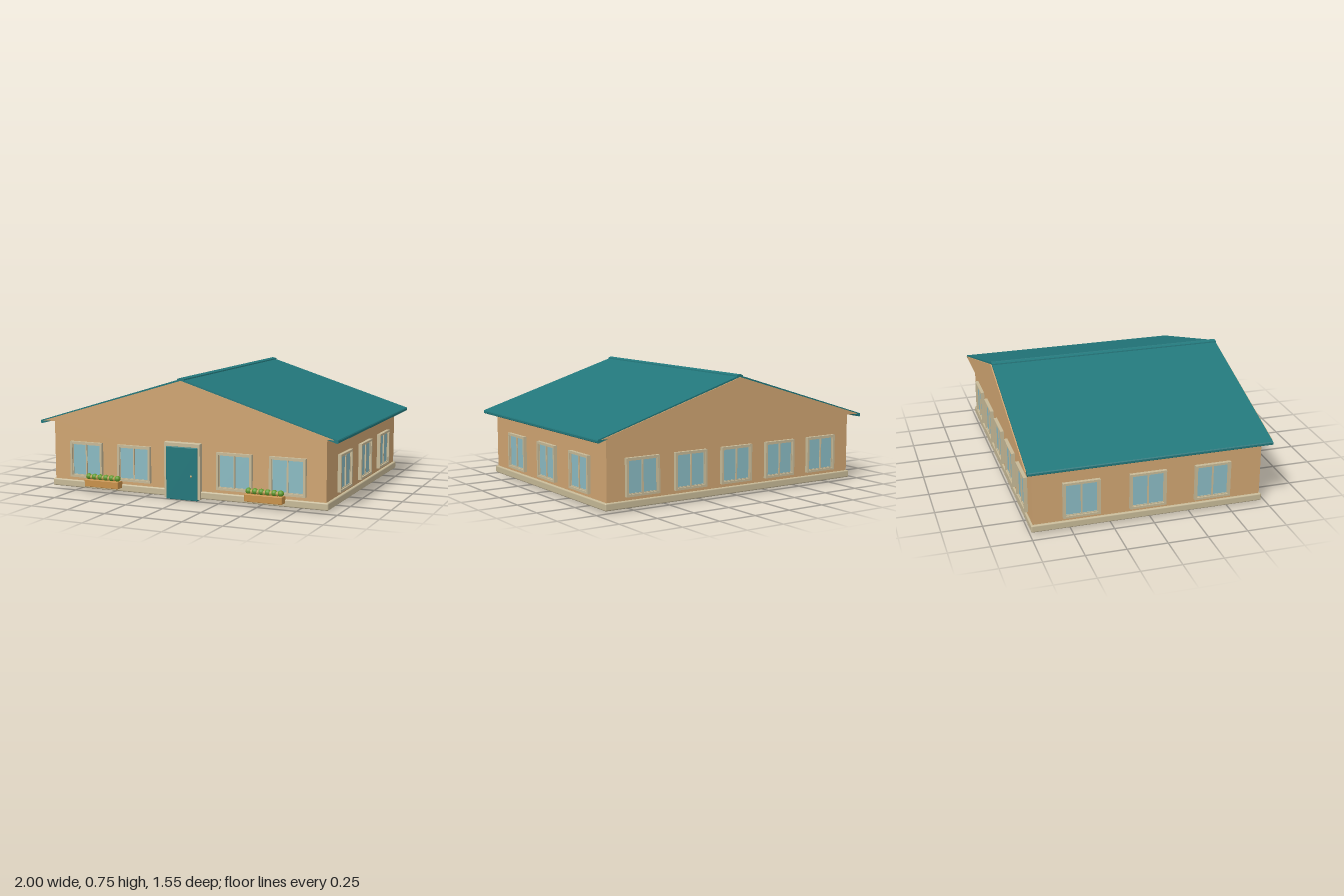
import * as THREE from 'three';
import { RoundedBoxGeometry } from 'three/addons/geometries/RoundedBoxGeometry.js';

const mat = (name, color) => Object.assign(new THREE.MeshStandardMaterial({ color }), { name });
const M = {
  wall: mat('wall plaster', 0xcfa471),
  trim: mat('stone trim', 0xc6b997),
  roof: mat('teal', 0x22777b),
  glass: mat('window glass', 0x8abac2),
  wood: mat('planter wood', 0xc8914a),
  leaf: mat('leaf green', 0x5f9a2c),
  bloom: mat('bloom', 0xb59a4e),
  metal: mat('handle metal', 0xb9a878),
};
const HX = 0.92, HZ = 0.72, WALL_TOP = 0.437, BASE = 0.012;

function add(parent, name, geometry, material, x = 0, y = 0, z = 0) {
  const mesh = new THREE.Mesh(geometry, material);
  mesh.name = name;
  mesh.position.set(x, y, z);
  parent.add(mesh);
  return mesh;
}

const polygon = (pts) => new THREE.Shape(pts.map(([x, y]) => new THREE.Vector2(x, y)));

function extrude(shape, depth) {
  return new THREE.ExtrudeGeometry(shape, { depth, bevelEnabled: false });
}

function rectangle(hx, hy, Type = THREE.Shape) {
  return new Type([[-hx, -hy], [hx, -hy], [hx, hy], [-hx, hy]].map(([x, y]) => new THREE.Vector2(x, y)));
}

// rectangular ring, extruded along z
function ring(hx, hy, border, depth) {
  const shape = rectangle(hx, hy);
  shape.holes.push(rectangle(hx - border, hy - border, THREE.Path));
  return extrude(shape, depth);
}

// window with its back on z = 0, facing +z
function makeWindow() {
  const g = new THREE.Group();
  g.name = 'window';
  add(g, 'windowFrame', ring(0.115, 0.115, 0.014, 0.022), M.trim);
  add(g, 'windowGlass', new THREE.BoxGeometry(0.206, 0.206, 0.008), M.glass, 0, 0, 0.004);
  for (const s of [-1, 1]) {
    add(g, 'sash', ring(0.0505, 0.101, 0.005, 0.013), M.trim, s * 0.0505);
  }
  add(g, 'mullion', new THREE.BoxGeometry(0.008, 0.204, 0.016), M.trim, 0, 0, 0.008);
  return g;
}

function makePlanter() {
  const g = new THREE.Group();
  g.name = 'planter';
  add(g, 'planterBox', new RoundedBoxGeometry(0.24, 0.046, 0.062, 2, 0.004), M.wood, 0, 0.058, 0);
  for (let i = 0; i < 11; i++) {
    const green = i % 2 === 0;
    add(g, green ? 'leafBall' : 'bloom', new THREE.SphereGeometry(green ? 0.019 : 0.015, 12, 8),
      green ? M.leaf : M.bloom, (i - 5) * 0.0205, green ? 0.097 : 0.094, 0.002);
  }
  return g;
}

export function createModel() {
  const model = new THREE.Group();
  model.name = 'house';
  const house = new THREE.Group();
  house.name = 'building';
  house.position.z = -0.01;
  model.add(house);

  // hollow walls, open below
  const walls = ring(HX, HZ, 0.02, WALL_TOP - BASE);
  walls.rotateX(-Math.PI / 2);
  add(house, 'walls', walls, M.wall, 0, BASE, 0);

  // foundation rails
  for (const s of [-1, 1]) {
    add(house, 'foundationRail', new RoundedBoxGeometry(1.87, 0.046, 0.032, 2, 0.008), M.trim, 0, 0.035, s * (HZ - 0.004));
    add(house, 'foundationSideRail', new RoundedBoxGeometry(0.032, 0.046, 1.464, 2, 0.008), M.trim, s * (HX - 0.001), 0.035, 0);
  }

  // gables
  const gable = polygon([[-0.975, WALL_TOP], [0.975, WALL_TOP], [0, 0.734]]);
  add(house, 'frontGable', extrude(gable, 0.067), M.wall, 0, 0, 0.7);
  add(house, 'backGable', extrude(gable, 0.067), M.wall, 0, 0, -0.767);

  // roof slopes and ridge cap
  const slopes = polygon([
    [0, 0.726], [-0.994, 0.416], [-1, 0.42], [-1, 0.432], [-0.996, 0.438],
    [0, 0.745], [0.996, 0.438], [1, 0.432], [1, 0.42], [0.994, 0.416],
  ]);
  add(house, 'roof', extrude(slopes, 1.52), M.roof, 0, 0, -0.76);
  const cap = polygon([[-0.025, 0.734], [0.025, 0.734], [0.023, 0.745], [0.005, 0.751], [0, 0.748], [-0.005, 0.751], [-0.023, 0.745]]);
  add(house, 'ridgeCap', extrude(cap, 1.522), M.roof, 0, 0, -0.761);

  // windows on all four sides
  const placeWindow = (x, z, angle) => {
    const w = makeWindow();
    w.position.set(x, 0.195, z);
    w.rotation.y = angle;
    house.add(w);
  };
  for (let i = -2; i <= 2; i++) {
    if (i !== 0) placeWindow(i * 0.341, HZ, 0);
    placeWindow(i * 0.341, -HZ, Math.PI);
  }
  for (let i = -1; i <= 1; i++) {
    for (const s of [-1, 1]) placeWindow(s * HX, i * 0.413 - 0.01, s * Math.PI / 2);
  }

  // door with its frame and handle
  for (const s of [-1, 1]) {
    add(house, 'doorPost', new THREE.BoxGeometry(0.018, 0.342, 0.035), M.trim, s * 0.112, 0.179, HZ + 0.012);
  }
  add(house, 'doorLintel', new RoundedBoxGeometry(0.242, 0.03, 0.035, 2, 0.005), M.trim, 0, 0.34, HZ + 0.012);
  add(house, 'door', new RoundedBoxGeometry(0.212, 0.328, 0.04, 2, 0.005), M.roof, 0, 0.164, HZ + 0.016);
  add(house, 'doorHandle', new THREE.SphereGeometry(0.007, 12, 8), M.metal, 0.066, 0.152, HZ + 0.04);

  // window boxes under the front windows
  for (const s of [-1, 1]) {
    const planter = makePlanter();
    planter.position.set(s * 0.548, 0, HZ + 0.036);
    house.add(planter);
  }
  return model;
}
